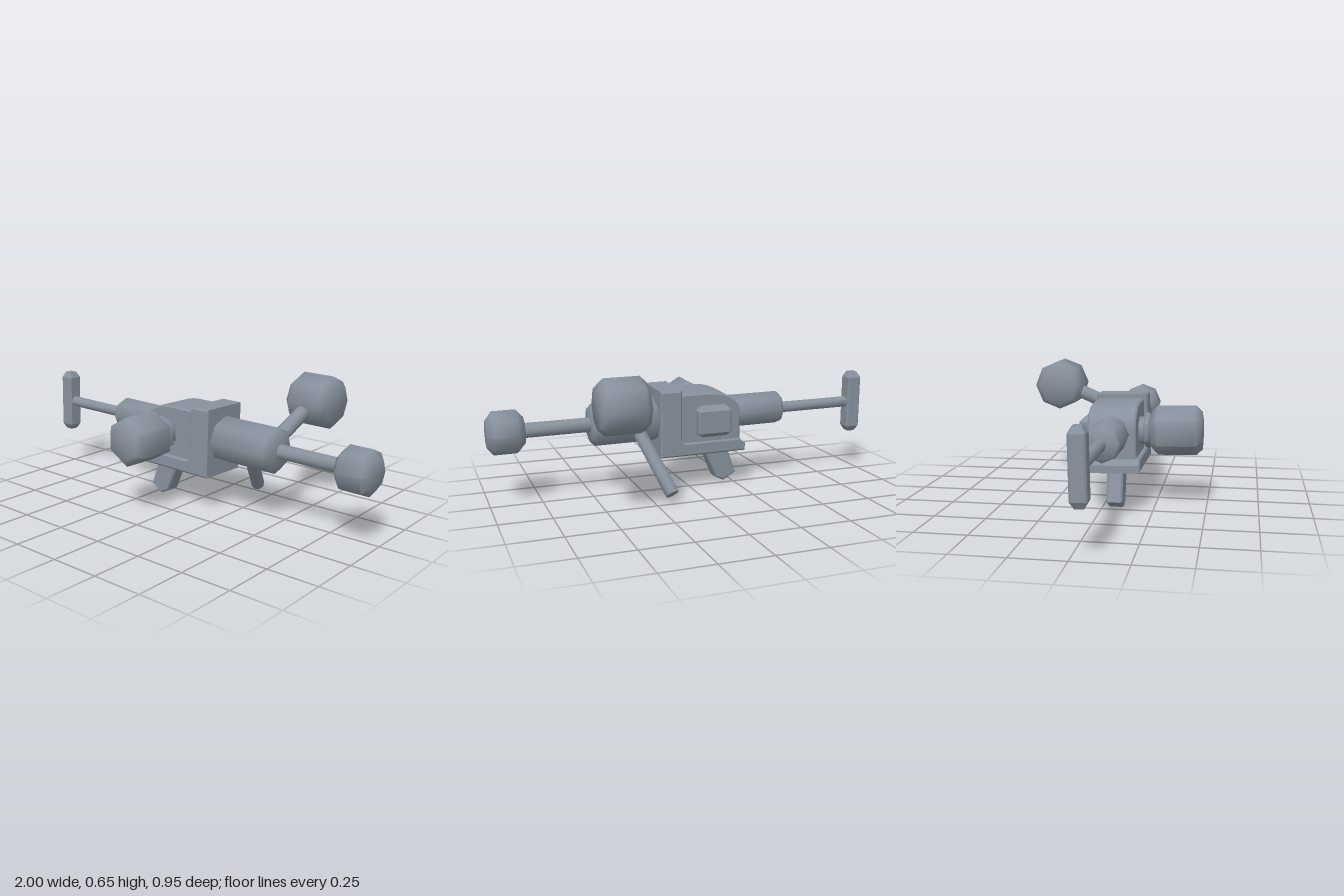
import * as THREE from 'three';
import { toCreasedNormals } from 'three/addons/utils/BufferGeometryUtils.js';
import { ConvexGeometry } from 'three/addons/geometries/ConvexGeometry.js';

export function createModel() {
  const metal = new THREE.MeshStandardMaterial({ color: 0x87919d });
  metal.name = 'slate grey';

  const model = new THREE.Group();
  model.name = 'gadget';
  // the whole assembly leans slightly about its middle
  const pivot = new THREE.Vector3(0, 0.37, 0.05);
  const body = new THREE.Group();
  body.name = 'assembly';
  body.position.copy(pivot);
  body.rotation.set(-0.026, -0.0065, -0.0125);
  model.add(body);

  function add(name, geometry, crease = 1.1) {
    geometry.translate(-pivot.x, -pivot.y, -pivot.z);
    const mesh = new THREE.Mesh(toCreasedNormals(geometry, crease), metal);
    mesh.name = name;
    body.add(mesh);
  }

  // faceted solid of revolution between two points, with bevelled rims
  function drum(name, from, to, r, sides, b0 = 0, b1 = 0, inset = b0) {
    const a = new THREE.Vector3(...from);
    const dir = new THREE.Vector3(...to).sub(a);
    const len = dir.length();
    const profile = [[0, 0], [r - inset, 0]];
    if (b0) profile.push([r, b0]);
    profile.push([r, len - b1]);
    if (b1) profile.push([r - inset, len]);
    profile.push([0, len]);
    const g = new THREE.LatheGeometry(profile.map(p => new THREE.Vector2(...p)), sides);
    g.applyQuaternion(new THREE.Quaternion().setFromUnitVectors(new THREE.Vector3(0, 1, 0), dir.normalize()));
    g.translate(...from);
    add(name, g);
  }

  // side profile extruded through z, with a small bevel kept inside the outline
  function slab(name, shape, z0, z1, bevel) {
    const g = new THREE.ExtrudeGeometry(shape, {
      depth: z1 - z0 - 2 * bevel, curveSegments: 6, bevelEnabled: true,
      bevelThickness: bevel, bevelSize: bevel, bevelOffset: -bevel, bevelSegments: 1,
    });
    g.translate(0, 0, z0 + bevel);
    add(name, g, 0.6);
  }

  // box whose edges are cut: c = inset on the two long sides, e = depth of the end cuts
  function cutBox(name, [x, y, z], [w, h, d], c, e) {
    const pts = [];
    for (const sx of [-1, 1]) for (const sy of [-1, 1]) for (const sz of [-1, 1]) {
      const put = (px, py, pz) => pts.push(new THREE.Vector3(x + sx * px, y + sy * py, z + sz * pz));
      put(w / 2 - c, h / 2, d / 2 - c);
      put(w / 2 - c * 0.4, h / 2 - e, d / 2);
      put(w / 2, h / 2 - e, d / 2 - c * 0.4);
    }
    add(name, new ConvexGeometry(pts), 0.5);
  }

  // L-shaped bracket: base lip and upright plate
  const bracket = new THREE.Shape();
  bracket.moveTo(-0.282, 0.188);
  bracket.lineTo(0.17, 0.188);
  bracket.lineTo(0.17, 0.525);
  bracket.lineTo(0.06, 0.525);
  bracket.lineTo(0.06, 0.285);
  bracket.quadraticCurveTo(0.06, 0.255, 0.03, 0.255);
  bracket.lineTo(-0.25, 0.255);
  bracket.lineTo(-0.282, 0.225);
  slab('bracket', bracket, -0.076, 0.187, 0.008);

  // main housing with a rounded shoulder
  const housing = new THREE.Shape();
  housing.moveTo(-0.255, 0.22);
  housing.lineTo(0.08, 0.22);
  housing.lineTo(0.08, 0.502);
  housing.lineTo(-0.09, 0.502);
  housing.bezierCurveTo(-0.17, 0.502, -0.255, 0.46, -0.255, 0.39);
  slab('housing', housing, -0.066, 0.168, 0.008);

  // angled grip with a chevron foot
  const grip = new THREE.Shape();
  [[-0.2, 0.24], [-0.27, 0.042], [-0.203, 0.004], [-0.155, 0.028], [-0.068, 0.24]]
    .forEach(([x, y], i) => (i ? grip.lineTo(x, y) : grip.moveTo(x, y)));
  slab('grip', grip, 0.02, 0.098, 0.008);

  // right side: end plate, rod and barrel
  cutBox('endPlate', [-0.961, 0.368, 0.044], [0.075, 0.33, 0.075], 0.018, 0.03);
  drum('rightRod', [-0.95, 0.367, 0.044], [-0.45, 0.367, 0.044], 0.029, 8);
  drum('rightBarrel', [-0.52, 0.37, 0.05], [-0.2, 0.37, 0.05], 0.086, 8, 0.015, 0, 0.01);

  // left side: barrel, rod and knob
  drum('leftBarrel', [0.15, 0.365, 0.053], [0.5, 0.365, 0.053], 0.113, 8, 0.025, 0.025);
  drum('leftRod', [0.45, 0.365, 0.046], [0.85, 0.365, 0.046], 0.037, 8);
  drum('leftKnob', [0.82, 0.365, 0.044], [0.997, 0.365, 0.044], 0.108, 8, 0.035, 0.03, 0.04);

  // front knob on a stepped neck
  drum('frontNeckRing', [-0.105, 0.367, 0.195], [-0.105, 0.367, 0.223], 0.087, 6, 0.005, 0.005);
  drum('frontNeck', [-0.105, 0.367, 0.15], [-0.105, 0.367, 0.25], 0.068, 6);
  drum('frontKnob', [-0.105, 0.367, 0.228], [-0.105, 0.367, 0.474], 0.122, 6, 0.03, 0.03);

  // raised pad on the back
  cutBox('backPad', [-0.102, 0.362, -0.08], [0.175, 0.155, 0.075], 0.022, 0.022);

  // rear knob on its slanted arm
  drum('rearArm', [0.43, 0.365, 0.05], [0.43, 0.53, -0.31], 0.037, 8);
  drum('rearKnob', [0.325, 0.538, -0.341], [0.552, 0.538, -0.341], 0.132, 8, 0.03, 0.03);

  // slanted strut under the left barrel
  drum('strut', [0.172, 0.06, -0.243], [0.272, 0.335, -0.01], 0.034, 8);

  return model;
}
